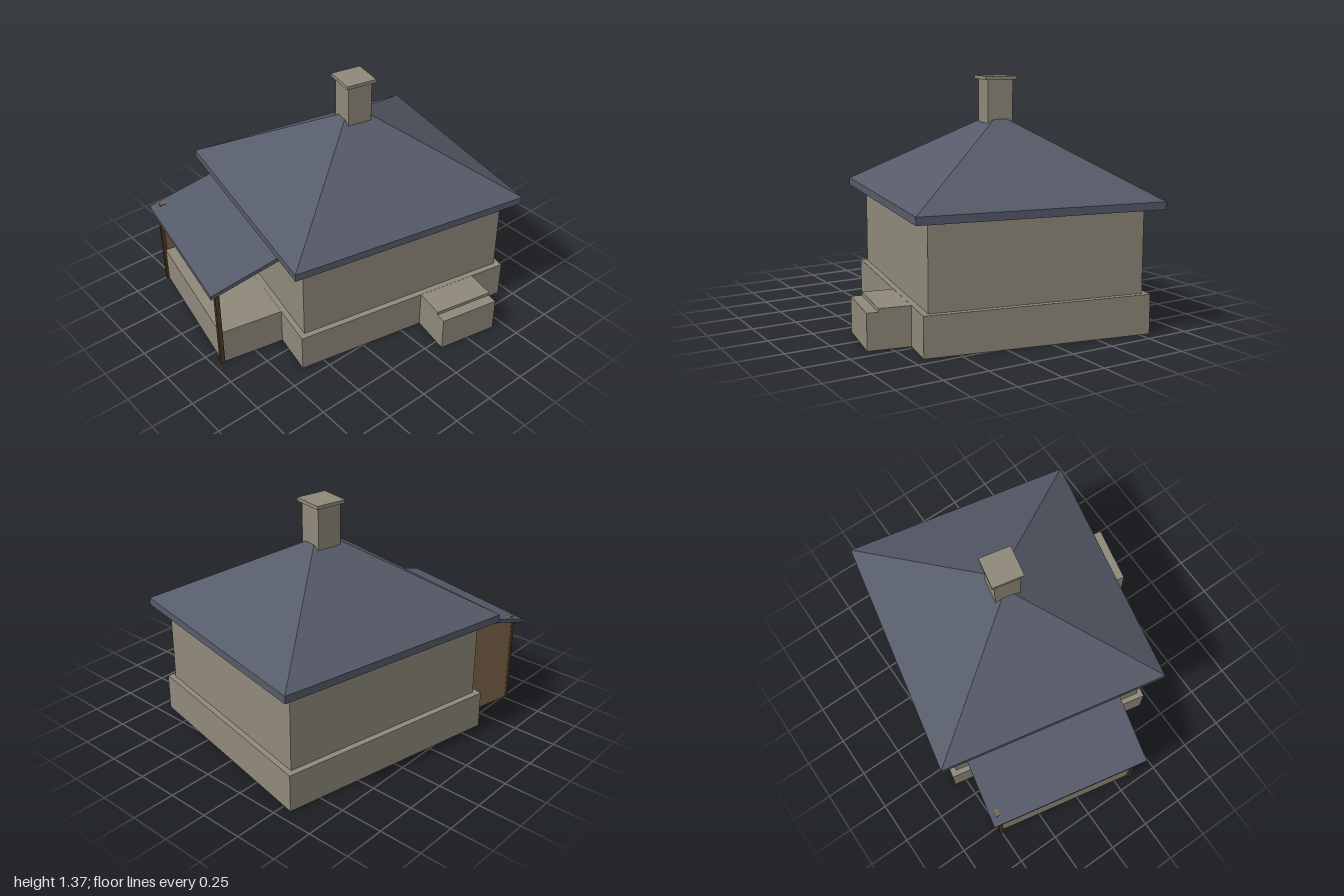
import * as THREE from 'three';

const mat = (name, color) => {
  const m = new THREE.MeshStandardMaterial({ color, side: THREE.DoubleSide });
  m.name = name;
  return m;
};

export function createModel() {
  const stone = mat('stone', 0x8f897a);
  const slate = mat('slate', 0x565b69);
  const timber = mat('timber', 0x80664a);
  const darkWood = mat('dark wood', 0x4a3822);

  // The house sits turned slightly on its plot
  const house = new THREE.Group();
  house.name = 'house';
  house.position.set(0.152, 0, -0.067);
  house.rotation.y = -0.197;

  const add = (name, geometry, material) => {
    const mesh = new THREE.Mesh(geometry, material);
    mesh.name = name;
    house.add(mesh);
    return mesh;
  };

  // Box given by its extents along each axis
  const block = (x0, x1, y0, y1, z0, z1) =>
    new THREE.BoxGeometry(x1 - x0, y1 - y0, z1 - z0)
      .translate((x0 + x1) / 2, (y0 + y1) / 2, (z0 + z1) / 2);

  // Hollow plinth: a box from the ground up without its bottom face
  const plinth = (x0, x1, y1, z0, z1) => {
    const g = block(x0, x1, 0, y1, z0, z1);
    const index = Array.from(g.index.array);
    index.splice(18, 6);
    g.setIndex(index);
    g.clearGroups();
    return g;
  };

  // Flat side profile in x and y, extruded from z0 to z1
  const slab = (points, z0, z1) => {
    const shape = new THREE.Shape(points.map(([x, y]) => new THREE.Vector2(x, y)));
    return new THREE.ExtrudeGeometry(shape, { depth: z1 - z0, bevelEnabled: false })
      .translate(0, 0, z0);
  };

  // Foundation, walls and front steps
  add('foundation', plinth(-0.672, 0.672, 0.22, -0.634, 0.634), stone);
  add('walls', block(-0.64, 0.64, 0.22, 0.69, -0.6, 0.6), stone);
  add('landing', plinth(0.1, 0.457, 0.219, 0.634, 0.808), stone);
  add('frontStep', plinth(0.1, 0.457, 0.2, 0.808, 0.87), stone);

  // Hipped roof: eave board with a tapered top
  add('eaves', block(-0.7235, 0.7235, 0.685, 0.728, -0.684, 0.684), slate);
  const hip = block(-0.7235, 0.7235, 0.728, 1.13, -0.684, 0.684);
  const p = hip.attributes.position;
  for (let i = 0; i < p.count; i++) {
    if (p.getY(i) > 1) {
      p.setX(i, Math.sign(p.getX(i)) * 0.08);
      p.setZ(i, Math.sign(p.getZ(i)) * 0.04);
    }
  }
  hip.computeVertexNormals();
  add('hippedRoof', hip, slate);

  // Chimney
  add('chimney', block(-0.074, 0.074, 1.0, 1.35, -0.074, 0.074), stone);
  add('chimneyCap', block(-0.092, 0.092, 1.35, 1.37, -0.092, 0.092), stone);

  // Side porch with lean-to roof
  add('porchBase', plinth(-1.045, -0.672, 0.219, -0.485, 0.375), stone);
  add('porchRoof', slab([
    [-1.093, 0.507], [-0.63, 0.634], [-0.63, 0.658], [-1.093, 0.531],
  ], -0.53, 0.413), slate);
  for (const [name, z] of [['frontPorchPost', 0.37], ['backPorchPost', -0.485]]) {
    add(name, block(-1.059, -1.034, 0, 0.53, z - 0.0125, z + 0.0125), darkWood);
  }

  // Boarded windbreak closing the back of the porch
  add('porchBackWall', slab([
    [-1.04, 0], [-0.672, 0], [-0.672, 0.22], [-0.64, 0.22], [-0.64, 0.638], [-0.98, 0.556], [-1.045, 0.553],
  ], -0.497, -0.475), timber);

  // Wooden chest on the porch floor
  add('porchChest', block(-0.89, -0.777, 0.22, 0.445, -0.475, -0.013), darkWood);

  const model = new THREE.Group();
  model.name = 'cottage';
  model.add(house);
  return model;
}
